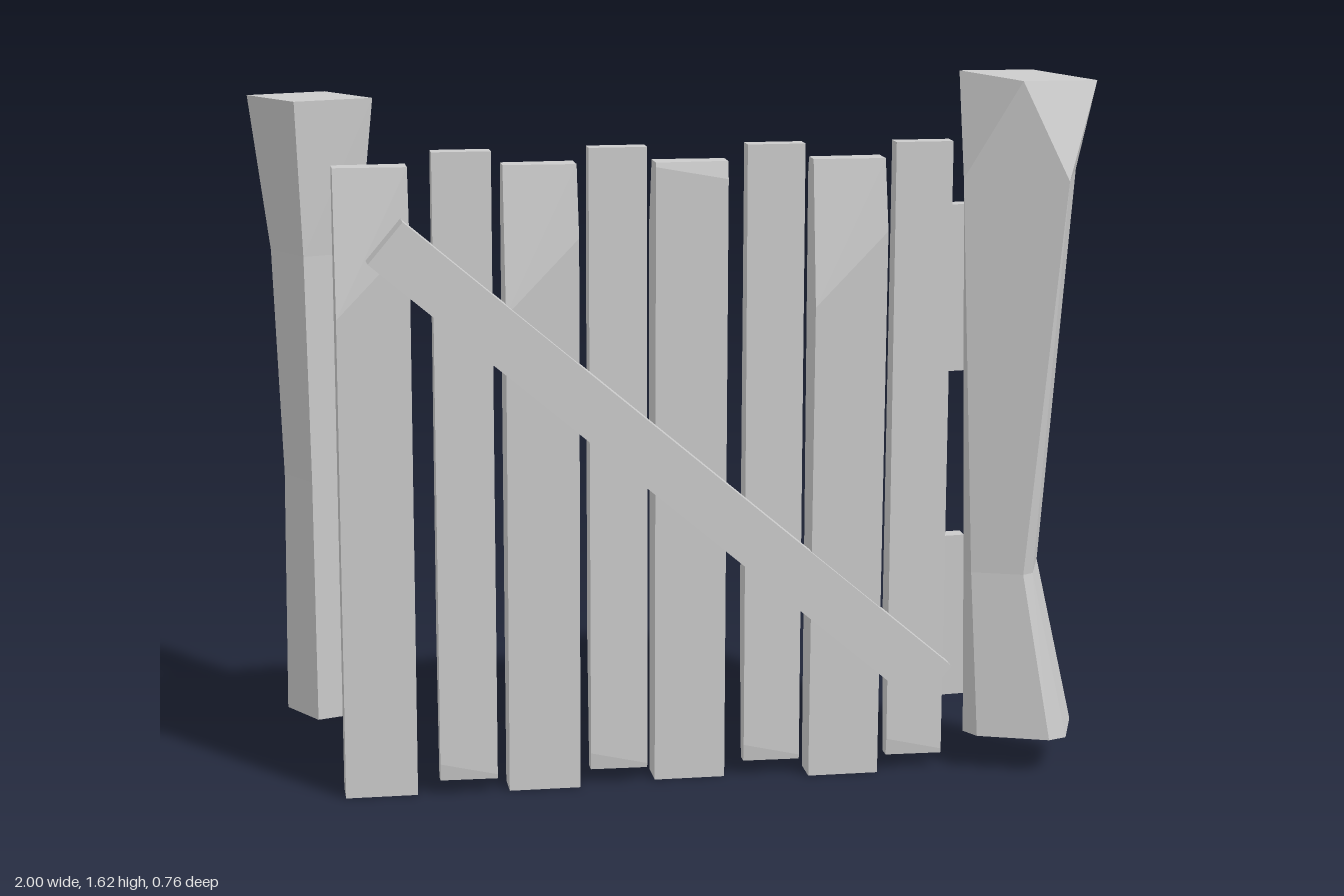
import * as THREE from 'three';

const material = new THREE.MeshStandardMaterial({ color: 0xcccccc, flatShading: true });

// Closed solid through rings of [x, y, z], listed bottom to top, each counterclockwise from above
function loft(name, rings) {
  const n = rings[0].length;
  const index = [];
  for (let r = 0; r < rings.length - 1; r++) {
    for (let i = 0; i < n; i++) {
      const a = r * n + i, b = r * n + (i + 1) % n;
      index.push(a, b, b + n, a, b + n, a + n);
    }
  }
  const top = (rings.length - 1) * n;
  for (let i = 1; i < n - 1; i++) {
    index.push(0, i + 1, i, top, top + i, top + i + 1);
  }
  const indexed = new THREE.BufferGeometry();
  indexed.setAttribute('position', new THREE.Float32BufferAttribute(rings.flat(2), 3));
  indexed.setIndex(index);
  const geometry = indexed.toNonIndexed();
  geometry.computeVertexNormals();
  const mesh = new THREE.Mesh(geometry, material);
  mesh.name = name;
  return mesh;
}

// Square ring with cut corners: cut 0 is a square, cut 1 a diamond
function postRing(x, y, z, hx, hz, cut, tilt = 0) {
  const k = 1 - cut;
  const corners = [[1, k], [1, -k], [k, -1], [-k, -1], [-1, -k], [-1, k], [-k, 1], [k, 1]];
  return corners.map(([u, v]) => [x + u * hx, y - u * tilt, z + v * hz]);
}

// Rough board with a big slanted cut at the top front and a small one at the top back
function plank() {
  const w = 0.082;
  return loft('plank', [
    [[w, 0, 0.038], [w, 0, -0.036], [-w, 0, -0.036], [-w, 0, 0.038]],
    [[w, 1.28, 0.056], [w, 1.43, -0.046], [-w, 1.4, -0.046], [-w, 1.11, 0.056]],
    [[w, 1.44, 0.018], [w, 1.44, -0.044], [-w, 1.44, -0.038], [-w, 1.44, 0.012]],
  ]);
}

function box(name, size, position, rotation) {
  const mesh = new THREE.Mesh(new THREE.BoxGeometry(...size), material);
  mesh.name = name;
  mesh.position.set(...position);
  mesh.rotation.set(...rotation);
  return mesh;
}

export function createModel() {
  const model = new THREE.Group();
  model.name = 'gate';

  // Slim free-standing post
  model.add(loft('rightPost', [
    postRing(-0.835, 0.02, -0.25, 0.105, 0.085, 1),
    postRing(-0.835, 0.62, -0.24, 0.095, 0.08, 1),
    postRing(-0.84, 1.17, -0.24, 0.11, 0.09, 1),
    postRing(-0.845, 1.54, -0.24, 0.155, 0.12, 1),
  ]));

  // Heavy hinge post, octagonal foot to square shoulder to diamond top
  model.add(loft('leftPost', [
    postRing(0.86, 0.09, -0.25, 0.12, 0.105, 0.3),
    postRing(0.812, 0.48, -0.25, 0.08, 0.088, 0.25),
    postRing(0.835, 1.4, -0.24, 0.118, 0.113, 0),
    postRing(0.845, 1.622, -0.253, 0.155, 0.135, 1, 0.008),
  ]));

  // Gate leaf, swung open: wide planks alternate with thin upturned ones
  const swing = 0.35;
  const spots = [
    [-0.55, 0.27], [-0.355, 0.225], [-0.197, 0.145], [-0.035, 0.08],
    [0.115, 0.005], [0.3, -0.05], [0.46, -0.095], [0.62, -0.16],
  ];
  spots.forEach(([x, z], i) => {
    const holder = new THREE.Group();
    holder.name = `plank${i + 1}`;
    holder.position.set(x, 0.005, z);
    holder.rotation.y = swing + (i === 4 ? Math.PI : 0);
    const board = plank();
    if (i % 2) {
      board.scale.set(0.8, 1, 0.6);
      board.rotation.x = Math.PI;
      board.position.y = 1.475;
    }
    holder.add(board);
    model.add(holder);
  });

  // Diagonal brace across the front
  const brace = new THREE.Group();
  brace.name = 'brace';
  brace.position.set(0.083, 0.755, 0.098);
  brace.rotation.y = 0.37;
  brace.add(box('braceBeam', [1.65, 0.12, 0.06], [0, 0, 0], [0, 0, -0.705]));
  model.add(brace);

  // Hinge blocks between leaf and post
  for (const [name, x, y] of [['upperHinge', 0.695, 1.14], ['lowerHinge', 0.7, 0.365]]) {
    model.add(box(name, [0.06, 0.385, 0.04], [x, y, -0.215], [0, swing, 0.03]));
  }

  return model;
}
